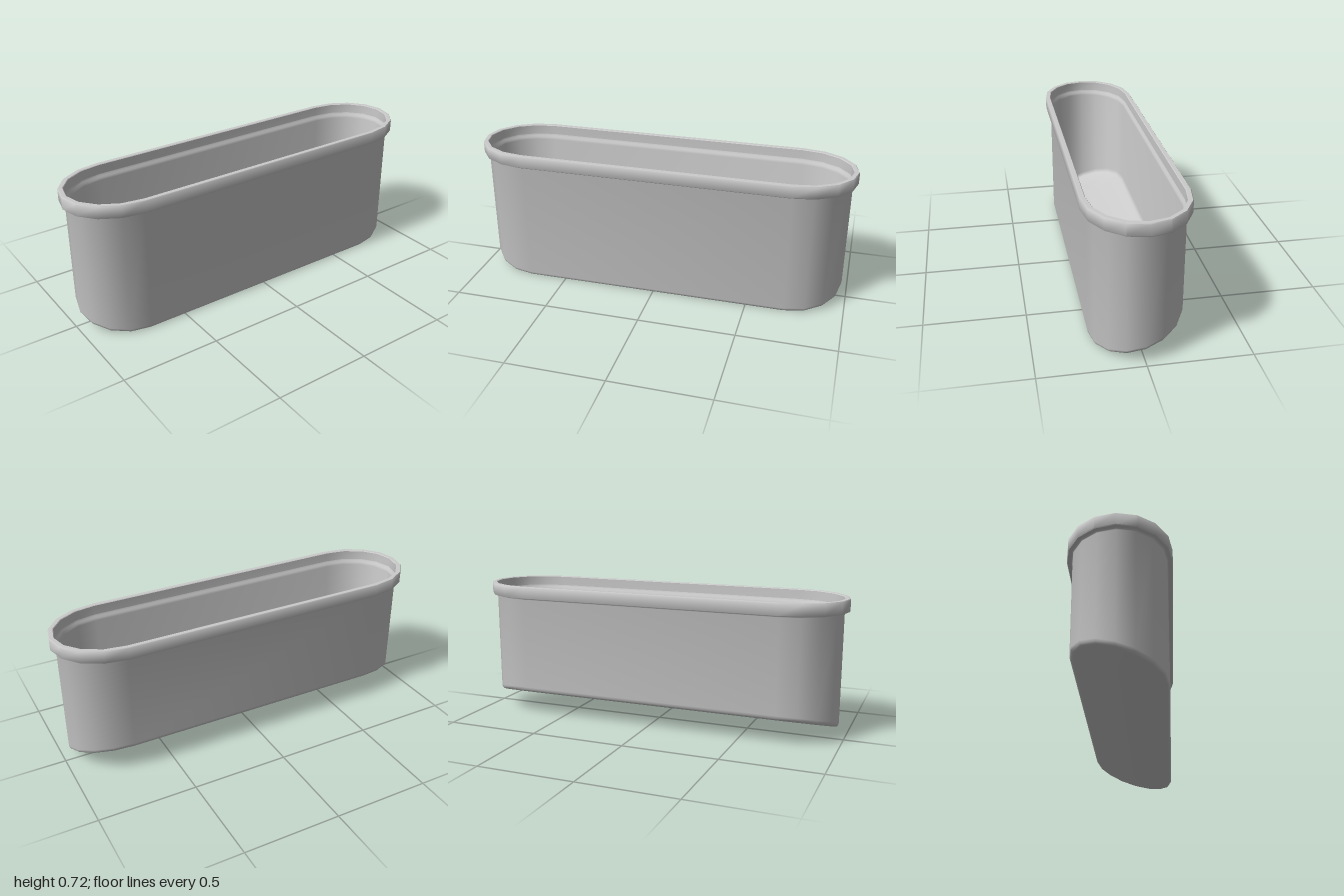
import * as THREE from 'three';
import { toCreasedNormals } from 'three/addons/utils/BufferGeometryUtils.js';

const STRAIGHT = 0.7, END_X = 0.3, HALF_Z = 0.2525, END_SEGMENTS = 8;

// Oblong outline, inset by d: straight sides with elliptical ends
function outline(d) {
  const points = [];
  for (const start of [-Math.PI / 2, Math.PI / 2]) {
    const side = start < 0 ? 1 : -1;
    for (let i = 0; i <= END_SEGMENTS; i++) {
      const t = start + (Math.PI * i) / END_SEGMENTS;
      points.push([side * STRAIGHT + (END_X - d) * Math.cos(t), (HALF_Z - d) * Math.sin(t)]);
    }
  }
  return points;
}

// Sloping base, low at the front
const slope = (z) => 0.065 - 0.31 * z;

// Skin a list of rows: { d: inset, y: level } or { d: inset, h: height above the slope }
function skin(name, rows, material) {
  const positions = [], index = [];
  const n = 2 * (END_SEGMENTS + 1);
  rows.forEach(({ d, y, h }, r) => {
    for (const [x, z] of outline(d)) positions.push(x, y ?? slope(z) + h, z);
    if (r === 0) return;
    for (let i = 0; i < n; i++) {
      const j = (i + 1) % n, lo = (r - 1) * n, hi = r * n;
      index.push(lo + i, hi + i, lo + j, hi + i, hi + j, lo + j);
    }
  });
  const geometry = new THREE.BufferGeometry();
  geometry.setAttribute('position', new THREE.Float32BufferAttribute(positions, 3));
  geometry.setIndex(index);
  const mesh = new THREE.Mesh(toCreasedNormals(geometry, 0.75), material);
  mesh.name = name;
  return mesh;
}

export function createModel() {
  const group = new THREE.Group();
  group.name = 'oblongContainer';
  const material = new THREE.MeshStandardMaterial({ color: 0xcccccc, side: THREE.DoubleSide });

  // Outer shell: sloping underside, rounded bottom edge, upright wall
  group.add(skin('outerShell', [
    { d: HALF_Z, h: 0 }, { d: 0.046, h: 0 }, { d: 0.036, h: 0.003 },
    { d: 0.03, h: 0.01 }, { d: 0.027, h: 0.022 }, { d: 0.0265, y: 0.646 },
    { d: 0.0245, y: 0.651 }, { d: 0.02, y: 0.654 },
  ], material));

  // Projecting rim with softened edges
  group.add(skin('rim', [
    { d: 0.02, y: 0.654 }, { d: 0.003, y: 0.654 }, { d: 0, y: 0.658 },
    { d: 0, y: 0.715 }, { d: 0.003, y: 0.719 }, { d: 0.023, y: 0.719 },
    { d: 0.026, y: 0.716 }, { d: 0.026, y: 0.668 },
  ], material));

  // Inner lining: small ledge under the rim, wall and sloping floor
  group.add(skin('innerLining', [
    { d: 0.026, y: 0.668 }, { d: 0.029, y: 0.658 }, { d: 0.035, y: 0.65 },
    { d: 0.037, y: 0.638 }, { d: 0.037, h: 0.04 }, { d: 0.04, h: 0.026 },
    { d: 0.047, h: 0.017 }, { d: 0.058, h: 0.013 }, { d: HALF_Z, h: 0.013 },
  ], material));

  return group;
}
